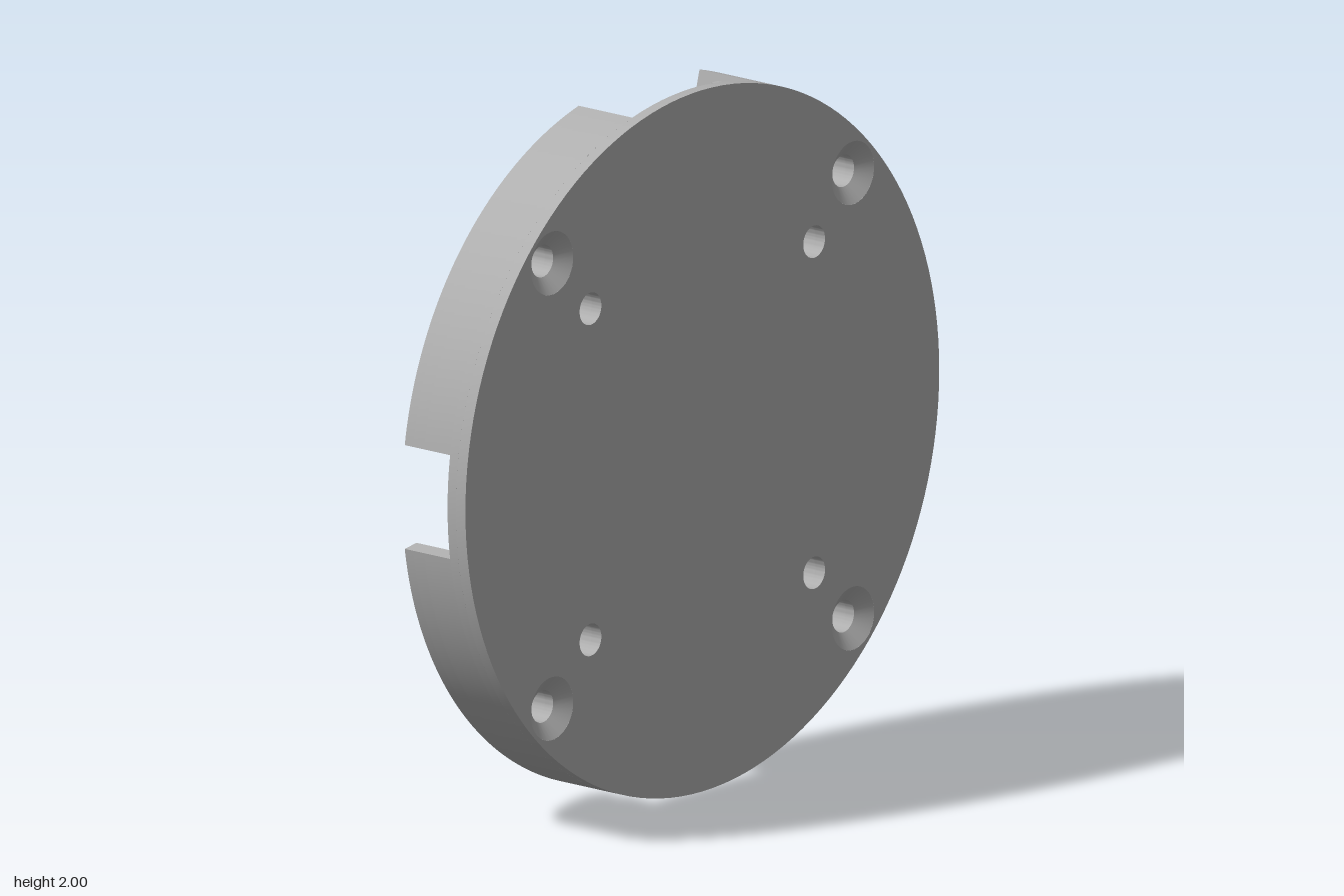
import * as THREE from 'three';
import { toCreasedNormals } from 'three/addons/utils/BufferGeometryUtils.js';

const FRONT = 0.115, FLOOR = 0.08, RIB = 0.04, PAD = -0.035, BACK = -0.115;
const SCREW = 0.635, PIN = 0.472, HOLE = 0.046;
const END = Math.acos(0.255);      // wall end angle beside the top and bottom gaps
const NOTCH = Math.asin(0.148);    // half angle of the side notch
const CORNERS = [[1, 1], [-1, 1], [-1, -1], [1, -1]];

export function createModel() {
  const grey = new THREE.MeshStandardMaterial({ color: 0xb0b0b0, side: THREE.DoubleSide });
  grey.name = 'grey';
  const model = new THREE.Group();
  const body = new THREE.Group();
  body.name = 'cover';
  body.position.y = 1;
  model.add(body);

  const add = (name, geometry) => {
    const mesh = new THREE.Mesh(geometry, grey);
    mesh.name = name;
    body.add(mesh);
    return mesh;
  };
  // Extrude a flat shape between two depths
  const slab = (name, shape, z0, z1) => {
    const g = new THREE.ExtrudeGeometry(shape, { depth: z1 - z0, bevelEnabled: false, curveSegments: 32 });
    g.translate(0, 0, z0);
    return add(name, toCreasedNormals(g, 0.5));
  };
  const drill = (shape, x, y, r) => {
    shape.holes.push(new THREE.Path().absarc(x, y, r, 0, Math.PI * 2, true));
  };

  // Front disc with countersunk screw holes and plain pin holes
  const disc = new THREE.Shape(Array.from({ length: 144 }, (_, i) => {
    const a = i / 144 * Math.PI * 2;
    return new THREE.Vector2(Math.cos(a), Math.sin(a));
  }));
  for (const [sx, sy] of CORNERS) {
    drill(disc, sx * SCREW, sy * SCREW, 0.09);
    drill(disc, sx * PIN, sy * PIN, HOLE);
    const cone = new THREE.CylinderGeometry(0.09, HOLE, FRONT - FLOOR, 32, 1, true);
    cone.rotateX(Math.PI / 2);
    add('countersink', cone).position.set(sx * SCREW, sy * SCREW, (FRONT + FLOOR) / 2);
  }
  slab('frontDisc', disc, FLOOR, FRONT);

  // Inner wall radius: thin wall swelling smoothly into the screw bosses
  const innerRadius = (a) => {
    const d = Math.abs(Math.abs(a) - Math.PI / 4);
    return 0.95 - 0.165 * (1 - THREE.MathUtils.smoothstep(d, 0.055, 0.2));
  };
  // Wall piece between two angles, with an optional socket cut at its start
  const wallShape = (a0, a1, holeR, socket) => {
    const n = Math.ceil((a1 - a0) / 0.025), pts = [];
    const polar = (r, a) => pts.push(new THREE.Vector2(r * Math.cos(a), r * Math.sin(a)));
    for (let i = 0; i <= n; i++) polar(1, a0 + (a1 - a0) * i / n);
    const start = socket ? a0 + 0.035 : a0;
    for (let i = n; i >= 0; i--) {
      const a = start + (a1 - start) * i / n;
      polar(innerRadius(a), a);
    }
    if (socket) { polar(0.975, start); polar(0.975, a0); }
    const shape = new THREE.Shape(pts);
    for (const s of [-1, 1]) {
      const a = s * Math.PI / 4;
      if (a > a0 && a < a1) drill(shape, SCREW, s * SCREW, holeR);
    }
    return shape;
  };

  // Wall layers: [back, front, screw hole radius, socket, side notch]
  const layers = [
    [BACK, -0.085, 0.066, false, true],
    [-0.085, -0.045, HOLE, false, true],
    [-0.045, 0.05, HOLE, true, true],
    [0.05, FLOOR, HOLE, false, false],
  ];
  for (const [z0, z1, r, socket, notch] of layers) {
    slab('rightWall', wallShape(-END, END, r, socket), z0, z1);
    const pieces = notch ? [[-END, -NOTCH], [NOTCH, END]] : [[-END, END]];
    for (const [a0, a1] of pieces) {
      slab('notchedWall', wallShape(a0, a1, r, socket && a0 === -END), z0, z1).rotation.z = Math.PI;
    }
  }

  // Small locking tongues on the opposite wall ends
  for (const s of [1, -1]) {
    add('tongue', new THREE.BoxGeometry(0.05, 0.025, 0.085)).position.set(s * 0.25, s * 0.935, -0.0025);
  }

  // Cross ribs with rounded inner corners
  const w = 0.12, len = 0.9, ribs = new THREE.Shape();
  const f = w + 0.07;
  for (let k = 0; k < 4; k++) {
    const a = Math.PI / 4 + k * Math.PI / 2, c = Math.cos(a), s = Math.sin(a);
    const at = (u, v) => [u * c - v * s, u * s + v * c];
    if (k === 0) ribs.moveTo(...at(f, -w));
    ribs.lineTo(...at(len - 0.06, -w));
    ribs.lineTo(...at(len - 0.06, w));
    ribs.lineTo(...at(f, w));
    const b = a + Math.PI / 2;
    ribs.quadraticCurveTo(...at(w, w),
      f * Math.cos(b) + w * Math.sin(b), f * Math.sin(b) - w * Math.cos(b));
  }
  for (const [sx, sy] of CORNERS) drill(ribs, sx * PIN, sy * PIN, HOLE);
  slab('crossRibs', ribs, RIB, FLOOR);

  // Raised round-ended pads around the pin holes
  for (let k = 0; k < 4; k++) {
    const pad = new THREE.Shape();
    const u = PIN * Math.SQRT2, r = 0.085;
    pad.moveTo(0.8, -r);
    pad.lineTo(0.8, r);
    pad.lineTo(u, r);
    pad.absarc(u, 0, r, Math.PI / 2, Math.PI * 1.5, false);
    drill(pad, u, 0, HOLE);
    slab('pinPad', pad, PAD, RIB).rotation.z = Math.PI / 4 + k * Math.PI / 2;
  }

  // Raised block on one side, with two rounded corners
  const x0 = 0.23, x1 = 0.574, h = 0.37, q = 0.04;
  const block = new THREE.Shape();
  block.moveTo(x1, -h);
  block.lineTo(x1, h);
  block.lineTo(x0 + q, h);
  block.quadraticCurveTo(x0, h, x0, h - q);
  block.lineTo(x0, -h + q);
  block.quadraticCurveTo(x0, -h, x0 + q, -h);
  slab('sideBlock', block, PAD - 0.002, FLOOR);
  // Web filling the rib corner beside the block
  slab('blockWeb', new THREE.Shape([
    new THREE.Vector2(0.1, 0), new THREE.Vector2(0.25, -0.15), new THREE.Vector2(0.25, 0.15),
  ]), RIB, FLOOR);

  return model;
}
